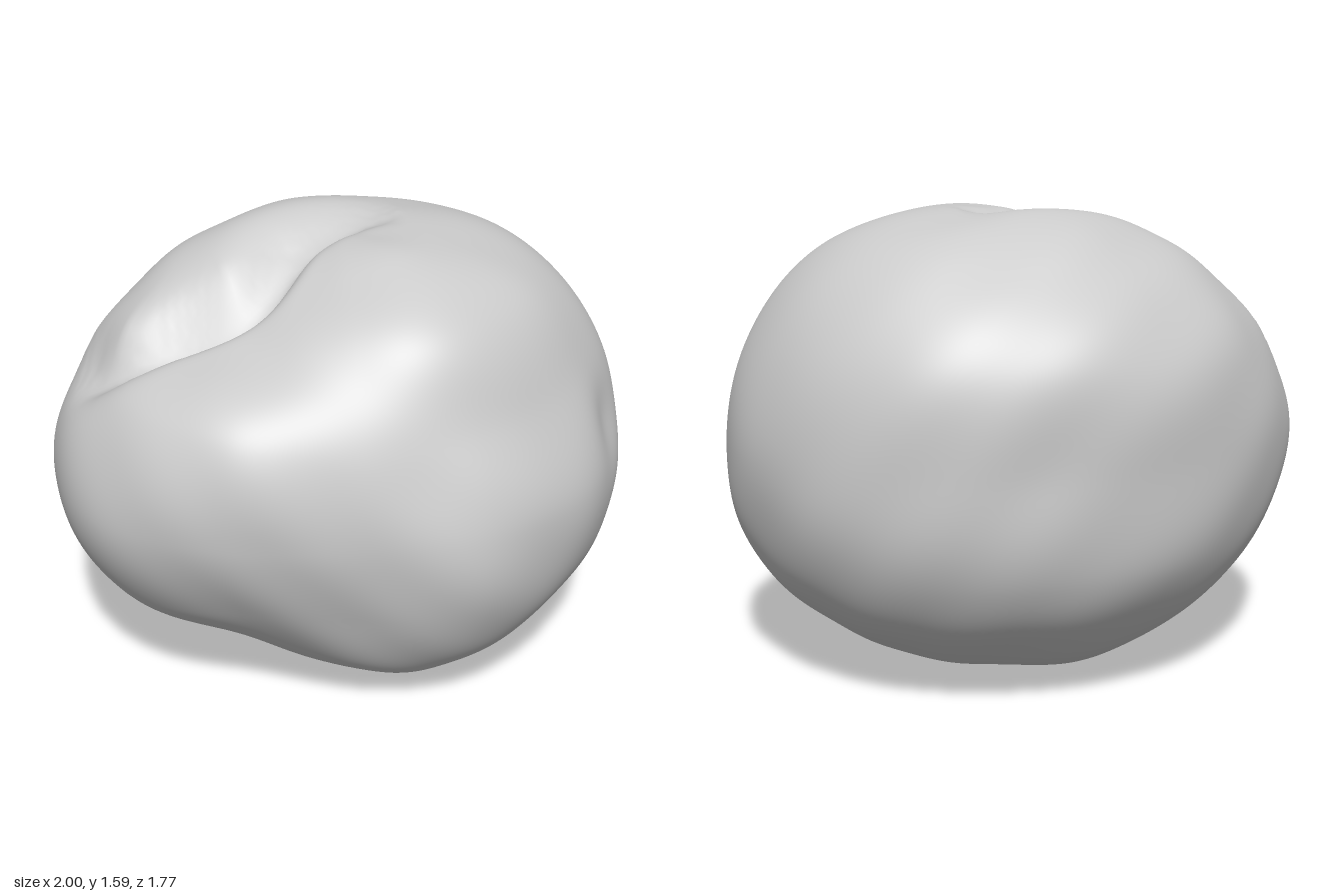
import * as THREE from 'three';
import { mergeVertices } from 'three/addons/utils/BufferGeometryUtils.js';

const CENTRE_HEIGHT = 0.8;
const STEP_AROUND = Math.PI / 6, STEP_UP = Math.PI / 8;

// Radius of the body every 30 degrees around (from +x toward +z),
// one row per 22.5 degrees of elevation, from the bottom to the top
const RADII = [
  Array(12).fill(0.785),
  [0.815, 0.82, 0.835, 0.84, 0.79, 0.76, 0.76, 0.78, 0.82, 0.84, 0.83, 0.82],
  [0.91, 0.91, 0.90, 0.88, 0.82, 0.77, 0.79, 0.83, 0.87, 0.88, 0.88, 0.90],
  [0.99, 0.99, 0.94, 0.895, 0.79, 0.815, 0.93, 0.95, 0.92, 0.90, 0.91, 0.96],
  [0.995, 1.00, 0.94, 0.88, 0.80, 0.88, 1.00, 1.00, 0.92, 0.88, 0.885, 0.96],
  [0.98, 0.97, 0.88, 0.83, 0.81, 0.90, 0.94, 0.94, 0.92, 0.91, 0.93, 0.97],
  [0.94, 0.93, 0.90, 0.87, 0.81, 0.76, 0.76, 0.845, 0.885, 0.88, 0.89, 0.92],
  [0.84, 0.84, 0.83, 0.82, 0.785, 0.74, 0.74, 0.795, 0.835, 0.85, 0.85, 0.84],
  Array(12).fill(0.78),
];

// Centre line of the groove that curls round the inner dome, in x and z
const GROOVE_STEPS = 120;
const groove = new THREE.CatmullRomCurve3([
  [-0.67, -0.58], [-0.74, -0.44], [-0.77, -0.25], [-0.60, -0.09],
  [-0.38, 0.03], [-0.12, -0.04], [0.08, -0.04], [0.24, 0.02],
].map(([x, z]) => new THREE.Vector3(x, 0, z))).getSpacedPoints(GROOVE_STEPS);

function cubic(a, b, c, d, t) {
  return b + 0.5 * t * (c - a + t * (2 * a - 5 * b + 4 * c - d + t * (3 * (b - c) + d - a)));
}

// Table lookup that wraps around and carries on across the poles
function radiusAt(row, col) {
  if (row < 0) return radiusAt(-row, col + 6);
  if (row > 8) return radiusAt(16 - row, col + 6);
  return RADII[row][(col + 24) % 12];
}

function bodyRadius(azimuth, elevation) {
  const u = azimuth / STEP_AROUND, v = (elevation + Math.PI / 2) / STEP_UP;
  const col = Math.floor(u), row = Math.min(7, Math.floor(v));
  const around = [-1, 0, 1, 2].map((k) => cubic(
    ...[-1, 0, 1, 2].map((j) => radiusAt(row + k, col + j)), u - col));
  return cubic(...around, v - row);
}

// Steep against the dome at the outer end, steep against the lip at the inner end
function grooveDepth(x, z) {
  let best = Infinity, at = 0;
  groove.forEach((p, i) => {
    const d = Math.hypot(x - p.x, z - p.z);
    if (d < best) { best = d; at = i; }
  });
  const a = groove[Math.max(0, at - 1)], b = groove[Math.min(GROOVE_STEPS, at + 1)];
  const side = (b.x - a.x) * (z - groove[at].z) - (b.z - a.z) * (x - groove[at].x);
  const t = at / GROOVE_STEPS;
  const inward = THREE.MathUtils.smoothstep(t, 0.2, 0.5);
  const width = side > 0
    ? THREE.MathUtils.lerp(0.12, 0.06, inward)
    : THREE.MathUtils.lerp(0.07, 0.15, inward);
  return 0.15 * Math.sin(Math.PI * t) * Math.exp(-((best / width) ** 2));
}

export function createModel() {
  const group = new THREE.Group();
  group.name = 'boulder';

  let geometry = new THREE.IcosahedronGeometry(1, 50);
  geometry.deleteAttribute('uv');
  geometry.deleteAttribute('normal');
  geometry = mergeVertices(geometry, 1e-5);

  const pos = geometry.attributes.position;
  const dent = new THREE.Vector3(0.73, 0.13, 0.67).normalize();
  const p = new THREE.Vector3();
  for (let i = 0; i < pos.count; i++) {
    p.fromBufferAttribute(pos, i).normalize();
    let r = bodyRadius(Math.atan2(p.z, p.x), Math.asin(THREE.MathUtils.clamp(p.y, -1, 1)));
    // Shallow hollow on the front corner and slight unevenness
    r -= 0.04 * Math.exp(-p.distanceToSquared(dent) / 0.025);
    r += 0.007 * Math.sin(9 * p.x + 4 * p.y) * Math.sin(8 * p.y + 3 * p.z) * Math.sin(10 * p.z + 1);
    p.multiplyScalar(r);
    // Groove, fading out down the sides
    p.y -= grooveDepth(p.x, p.z) * THREE.MathUtils.smoothstep(p.y, 0.05, 0.4);
    pos.setXYZ(i, p.x, p.y + CENTRE_HEIGHT, p.z);
  }
  geometry.computeVertexNormals();

  const body = new THREE.Mesh(geometry, new THREE.MeshStandardMaterial({ color: 0xcccccc }));
  body.name = 'stoneBody';
  group.add(body);
  return group;
}
